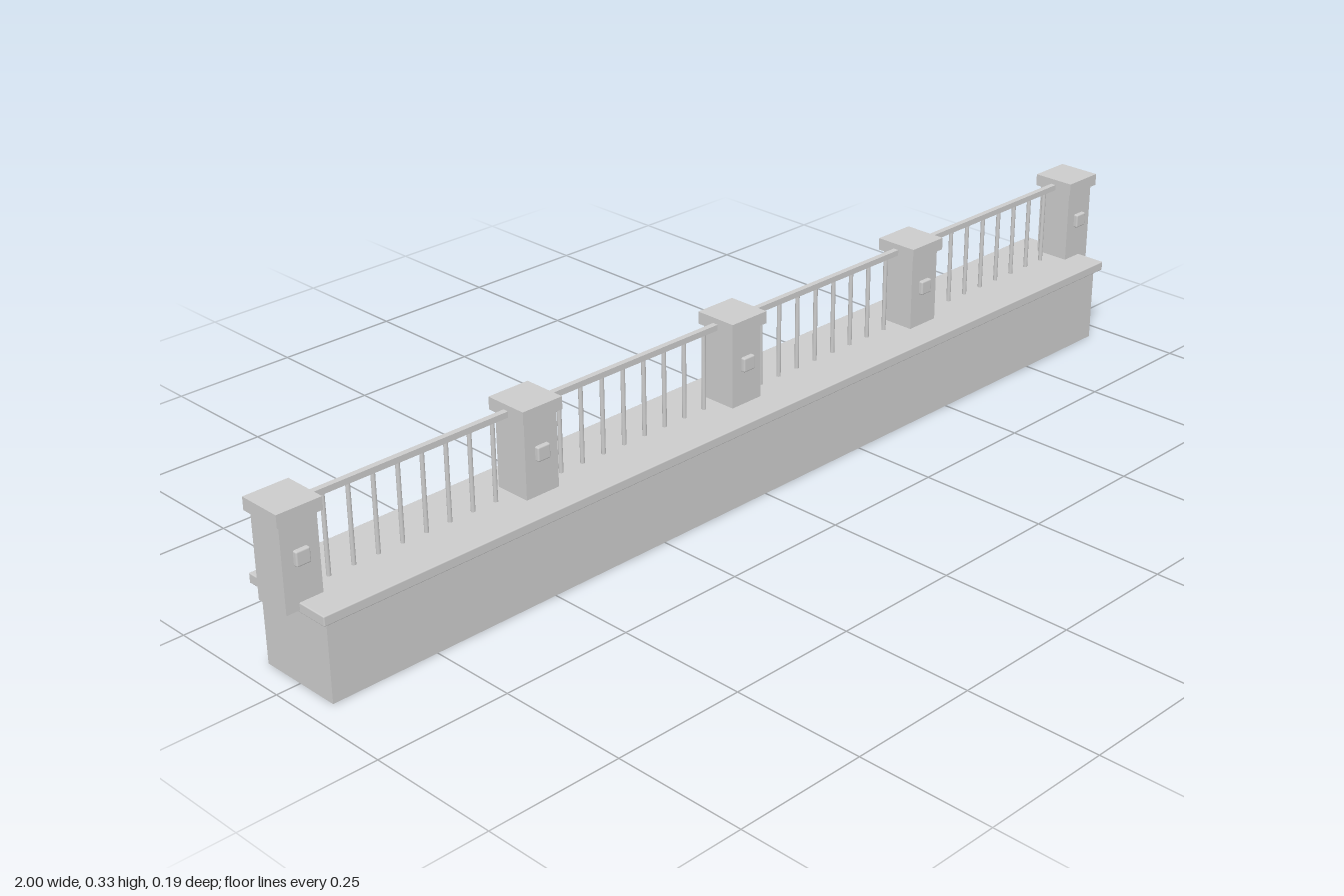
import * as THREE from 'three';
import { RoundedBoxGeometry } from 'three/addons/geometries/RoundedBoxGeometry.js';

export function createModel() {
  const model = new THREE.Group();
  model.name = 'balustradeWall';
  const material = new THREE.MeshStandardMaterial({ color: 0xcccccc });

  const add = (parent, name, geometry, x, y, z) => {
    const mesh = new THREE.Mesh(geometry, material);
    mesh.name = name;
    mesh.position.set(x, y, z);
    parent.add(mesh);
  };

  // Wall and its overhanging coping slab
  add(model, 'wallBase', new THREE.BoxGeometry(1.91, 0.147, 0.166), 0, 0.0735, 0);
  add(model, 'copingSlab', new RoundedBoxGeometry(1.934, 0.018, 0.19, 2, 0.002), 0, 0.155, 0);

  // Five capped posts, each with a small plaque on the front
  const pitch = 0.4785;
  const shaft = new THREE.BoxGeometry(0.07, 0.155, 0.07);
  const cap = new THREE.BoxGeometry(0.084, 0.023, 0.084);
  const plaque = new RoundedBoxGeometry(0.027, 0.027, 0.014, 2, 0.003);
  for (let i = -2; i <= 2; i++) {
    const post = new THREE.Group();
    post.name = 'post';
    post.position.x = i * pitch;
    add(post, 'postShaft', shaft, 0, 0.2285, 0);
    add(post, 'postCap', cap, 0, 0.317, 0);
    add(post, 'postPlaque', plaque, 0, 0.2415, 0.036);
    model.add(post);
  }

  // Handrail and balusters, eight to a bay
  const rail = new THREE.BoxGeometry(pitch - 0.07, 0.011, 0.011);
  const baluster = new THREE.CylinderGeometry(0.004, 0.004, 0.146, 10);
  for (let bay = 0; bay < 4; bay++) {
    const x = (bay - 1.5) * pitch;
    add(model, 'handrail', rail, x, 0.3125, 0);
    for (let i = 0; i < 8; i++) {
      add(model, 'baluster', baluster, x + (i - 3.5) * 0.048, 0.236, 0);
    }
  }
  return model;
}
